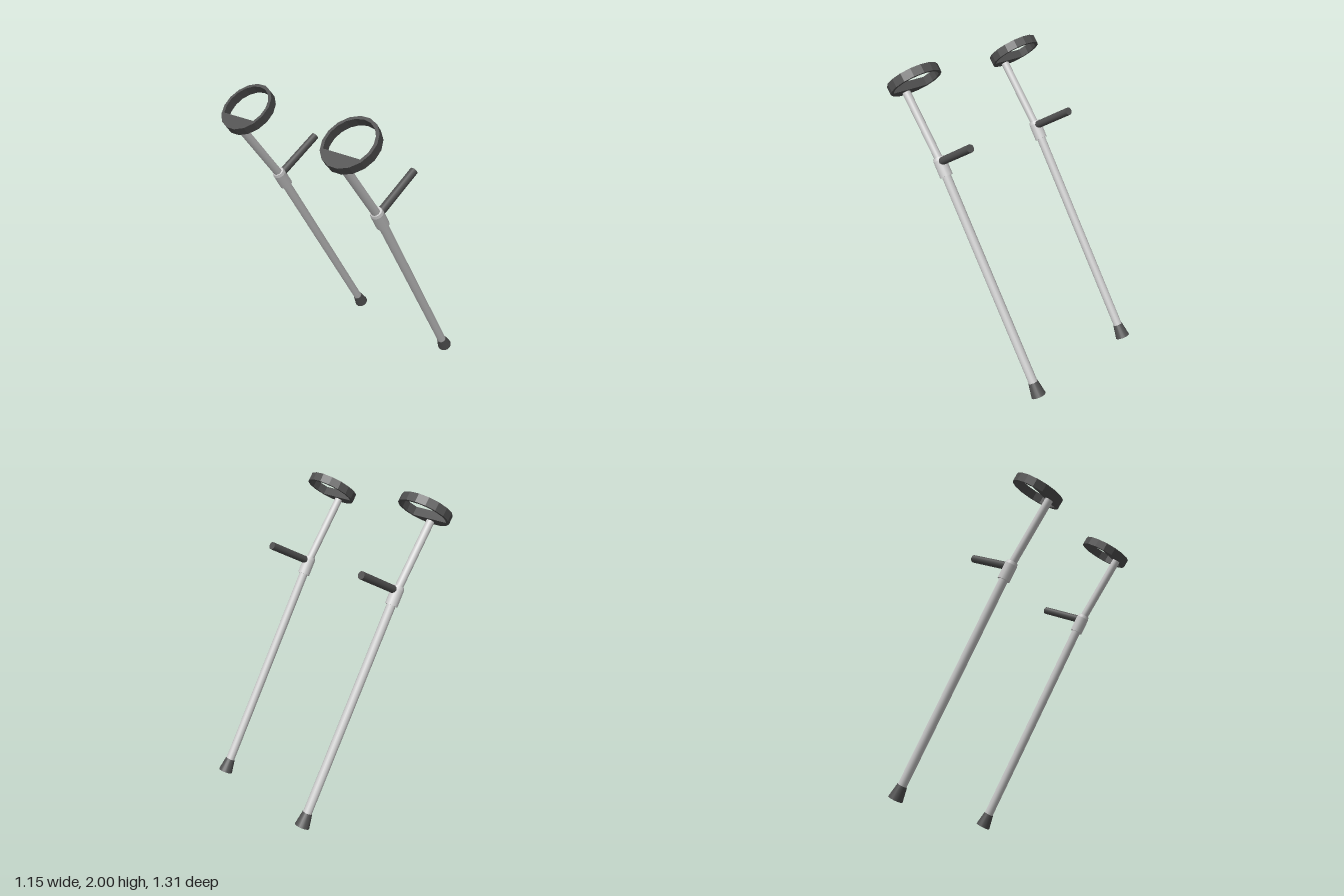
import * as THREE from 'three';

const V = (x, y, z) => new THREE.Vector3(x, y, z);
const metal = new THREE.MeshStandardMaterial({ color: 0xcccccc });
const rubber = new THREE.MeshStandardMaterial({ color: 0x505050 });

// Round bar between two points, with its own radius at each end
function bar(name, from, to, r0, r1, material) {
  const dir = to.clone().sub(from);
  const mesh = new THREE.Mesh(new THREE.CylinderGeometry(r1, r0, dir.length(), 20), material);
  mesh.position.copy(from).add(to).multiplyScalar(0.5);
  mesh.quaternion.setFromUnitVectors(V(0, 1, 0), dir.normalize());
  mesh.name = name;
  return mesh;
}

// Faceted forearm ring whose hole is cut straight across at the front
function forearmCuff(centre, axis, right) {
  const R = 0.169, inner = 0.149, chord = -0.079, height = 0.054, sides = 16;
  const outline = [], hole = [];
  for (let i = 0; i < sides; i++) {
    const a = ((i + 0.5) / sides) * Math.PI * 2;
    outline.push(new THREE.Vector2(R * Math.cos(a), R * Math.sin(a)));
  }
  const start = Math.asin(chord / inner);
  for (let i = 0; i <= 12; i++) {
    const a = start + (i / 12) * (Math.PI - 2 * start);
    hole.push(new THREE.Vector2(inner * Math.cos(a), inner * Math.sin(a)));
  }
  const shape = new THREE.Shape(outline);
  shape.holes.push(new THREE.Path(hole));
  const geometry = new THREE.ExtrudeGeometry(shape, { depth: height, bevelEnabled: false });
  geometry.translate(0, 0, -height / 2);

  // Local x is sideways, local y points back, local z is the ring axis
  const z = axis.clone().normalize();
  const y = z.clone().cross(right).normalize();
  const x = y.clone().cross(z);
  const mesh = new THREE.Mesh(geometry, rubber);
  mesh.quaternion.setFromRotationMatrix(new THREE.Matrix4().makeBasis(x, y, z));
  mesh.position.copy(centre);
  mesh.name = 'forearmCuff';
  return mesh;
}

function crutch(name) {
  const foot = V(0.451, 0.026, -0.555);
  const collarTop = V(0.428, 1.398, 0.303);
  const along = (t) => foot.clone().lerp(collarTop, t);
  const group = new THREE.Group();
  group.name = name;
  group.add(
    bar('rubberFoot', foot, along(0.057), 0.048, 0.032, rubber),
    bar('lowerTube', along(0.03), along(0.95), 0.029, 0.029, metal),
    bar('collar', along(0.922), along(0.988), 0.041, 0.041, metal),
    bar('collarRim', along(0.988), collarTop, 0.041, 0.036, metal),
    bar('upperTube', along(0.975), V(0.418, 1.75, 0.583), 0.026, 0.026, metal),
    bar('handGrip', V(0.432, 1.37, 0.29), V(0.462, 1.555, -0.022), 0.025, 0.025, rubber),
    forearmCuff(V(0.41, 1.845, 0.507), V(-0.02, 0.788, 0.616), V(1, -0.006, 0.04))
  );
  return group;
}

export function createModel() {
  const model = new THREE.Group();
  model.name = 'forearmCrutches';
  const left = crutch('leftCrutch');
  const right = crutch('rightCrutch');
  right.position.set(-0.82, 0.03, -0.063);
  model.add(left, right);
  return model;
}
